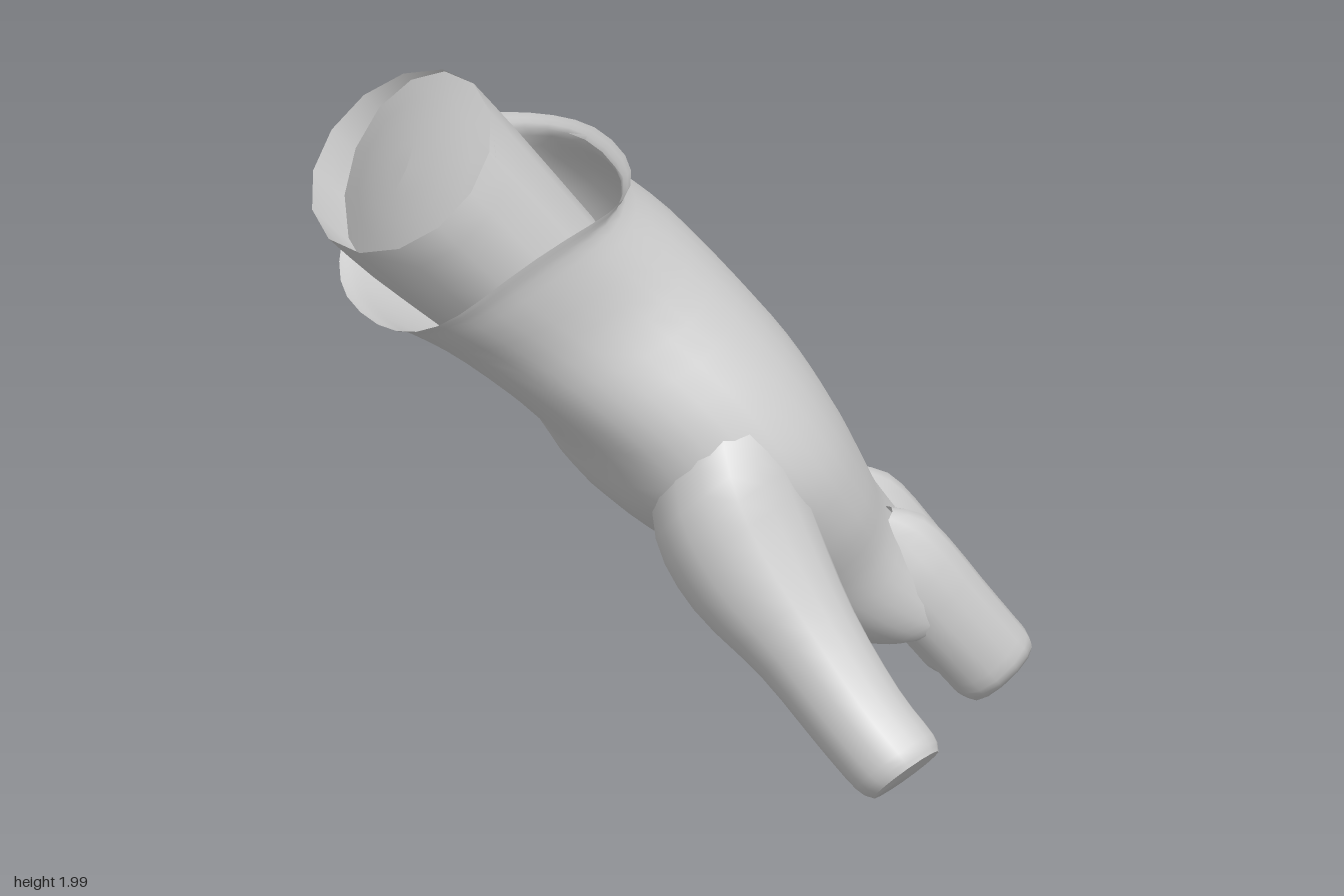
import * as THREE from 'three';
import { toCreasedNormals } from 'three/addons/utils/BufferGeometryUtils.js';

const V = (x, y, z) => new THREE.Vector3(x, y, z);
const material = new THREE.MeshStandardMaterial({ color: 0xcccccc, side: THREE.DoubleSide });

// Cross-section from its back edge, palm edge and z range
const slice = ([tx, ty, bx, by, z0, z1]) => ({
  c: V((tx + bx) / 2, (ty + by) / 2, (z0 + z1) / 2),
  n: V((tx - bx) / 2, (ty - by) / 2, 0),
  s: V(0, 0, (z1 - z0) / 2),
});

// Cross-section around a centre, square to a direction
function disc(c, dir, thick, wide = thick) {
  const t = dir.clone().normalize();
  const s = V(0, 0, 1).addScaledVector(t, -t.z).normalize();
  return { c, n: s.clone().cross(t).multiplyScalar(thick), s: s.multiplyScalar(wide) };
}

// Smooth skin through cross-sections, optionally closed at the far end
function loft(name, sections, { sides = 20, steps = 4, cap = false, power = 1, shift = null } = {}) {
  const curve = (k) => new THREE.CatmullRomCurve3(sections.map((q) => q[k]), false, 'catmullrom', 0.5);
  const [C, N, S] = ['c', 'n', 's'].map(curve);
  const rows = (sections.length - 1) * steps;
  const pos = [], index = [];
  const round = (v) => Math.sign(v) * Math.abs(v) ** power;
  for (let i = 0; i <= rows; i++) {
    const t = i / rows, c = C.getPoint(t), n = N.getPoint(t), s = S.getPoint(t);
    for (let j = 0; j < sides; j++) {
      const a = (j / sides) * Math.PI * 2;
      const p = c.clone().addScaledVector(n, round(Math.cos(a))).addScaledVector(s, round(Math.sin(a)));
      if (shift) shift(p, a, t);
      pos.push(p.x, p.y, p.z);
      if (i < rows) {
        const k = i * sides, m = (j + 1) % sides;
        index.push(k + j, k + m, k + sides + j, k + m, k + sides + m, k + sides + j);
      }
    }
  }
  if (cap) {
    const end = C.getPoint(1), k = rows * sides;
    pos.push(end.x, end.y, end.z);
    for (let j = 0; j < sides; j++) index.push(k + sides, k + j, k + ((j + 1) % sides));
  }
  const geo = new THREE.BufferGeometry();
  geo.setAttribute('position', new THREE.Float32BufferAttribute(pos, 3));
  geo.setIndex(index);
  const mesh = new THREE.Mesh(toCreasedNormals(geo, 0.9), material);
  mesh.name = name;
  return mesh;
}

// Finger from a narrow knuckle ridge to a blunt bevelled tip
function finger(name, from, to, thick, wide) {
  const dir = to.clone().sub(from);
  const profile = [[0, 0.6, 0.35], [0.14, 1, 0.6], [0.32, 1.08, 0.88], [0.6, 1.03, 1],
    [0.86, 1, 1.04], [0.94, 0.99, 0.98], [1, 0.9, 0.66]];
  return loft(name, profile.map(([t, h, w]) =>
    disc(from.clone().addScaledVector(dir, t), dir, thick * h, wide * w)),
  { sides: 14, steps: 2, cap: true, power: 0.9 });
}

export function createModel() {
  const group = new THREE.Group();

  // Glove body: flared cuff, wrist, palm, closing to a thin web between the fingers
  const body = [
    [-0.16, 1.76, -0.89, 1.42, -0.6, 0.165],
    [-0.18, 1.71, -0.82, 1.39, -0.58, 0.15],
    [0, 1.53, -0.64, 1.26, -0.575, 0.17],
    [0.22, 1.25, -0.4, 1.03, -0.59, 0.3],
    [0.35, 1.04, -0.26, 0.82, -0.635, 0.36],
    [0.45, 0.85, -0.04, 0.61, -0.675, 0.31],
    [0.54, 0.69, 0.18, 0.39, -0.72, 0.215],
    [0.645, 0.53, 0.4, 0.255, -0.74, 0.18],
    [0.69, 0.43, 0.53, 0.25, -0.73, 0.16],
    [0.66, 0.355, 0.6, 0.28, -0.7, 0.12],
  ].map(slice);
  // The cuff edge rises at both sides, and the little-finger side of the hand lies lower
  const shape = (p, a, t) => {
    const rise = 0.095 * Math.sin(a) ** 4 * Math.max(0, 1 - t * 5);
    p.x -= 0.42 * rise;
    p.y += 0.9 * rise;
    const drop = 0.2 * Math.max(0, t - 0.52) * Math.max(0, -0.3 - p.z) / 0.4;
    p.x -= drop;
    p.y -= drop * 0.6;
  };
  group.add(loft('gloveBody', body, { sides: 32, cap: true, power: 0.88, shift: shape }));

  // Four short fingers
  const fingers = [
    ['indexFinger', V(0.45, 0.63, 0.07), V(0.81, 0.145, 0.09), 0.122, 0.108],
    ['middleFinger', V(0.47, 0.63, -0.195), V(0.875, 0.075, -0.205), 0.127, 0.112],
    ['ringFinger', V(0.43, 0.61, -0.43), V(0.785, 0.1, -0.487), 0.122, 0.11],
    ['littleFinger', V(0.38, 0.59, -0.6), V(0.635, 0.14, -0.72), 0.108, 0.095],
  ];
  for (const f of fingers) group.add(finger(...f));

  // Thumb growing out of the palm
  const thumbDir = V(0.3, -0.62, 0.6);
  const thumb = [
    [-0.02, 1.09, 0.08, 0.19], [-0.04, 0.9, 0.2, 0.22], [0, 0.72, 0.305, 0.2],
    [0.08, 0.54, 0.45, 0.15], [0.16, 0.37, 0.59, 0.13], [0.215, 0.275, 0.69, 0.125], [0.23, 0.25, 0.725, 0.105],
  ].map(([x, y, z, r]) => disc(V(x, y, z), thumbDir, r));
  group.add(loft('thumb', thumb, { sides: 16, steps: 3, cap: true }));

  // Forearm stub standing out of the cuff
  const arm = [
    [-0.55, 2, -0.97, 1.64, -0.565, 0.085],
    [-0.42, 1.83, -0.84, 1.5, -0.565, 0.085],
    [-0.21, 1.54, -0.64, 1.31, -0.545, 0.09],
  ].map(slice);
  group.add(loft('forearm', arm, { sides: 14, steps: 2 }));

  // Gently domed end, sunken towards the palm side
  const end = slice([-0.55, 2, -0.86, 1.53, -0.56, 0.08]);
  const dome = [[0.001, 0.05], [0.5, 0.037], [1, 0]].map(([k, h]) => ({
    c: end.c.clone().add(V(-h * 0.8, h * 0.6, 0)),
    n: end.n.clone().multiplyScalar(k),
    s: end.s.clone().multiplyScalar(k),
  }));
  group.add(loft('forearmEnd', dome, { sides: 14, steps: 2 }));

  return group;
}
